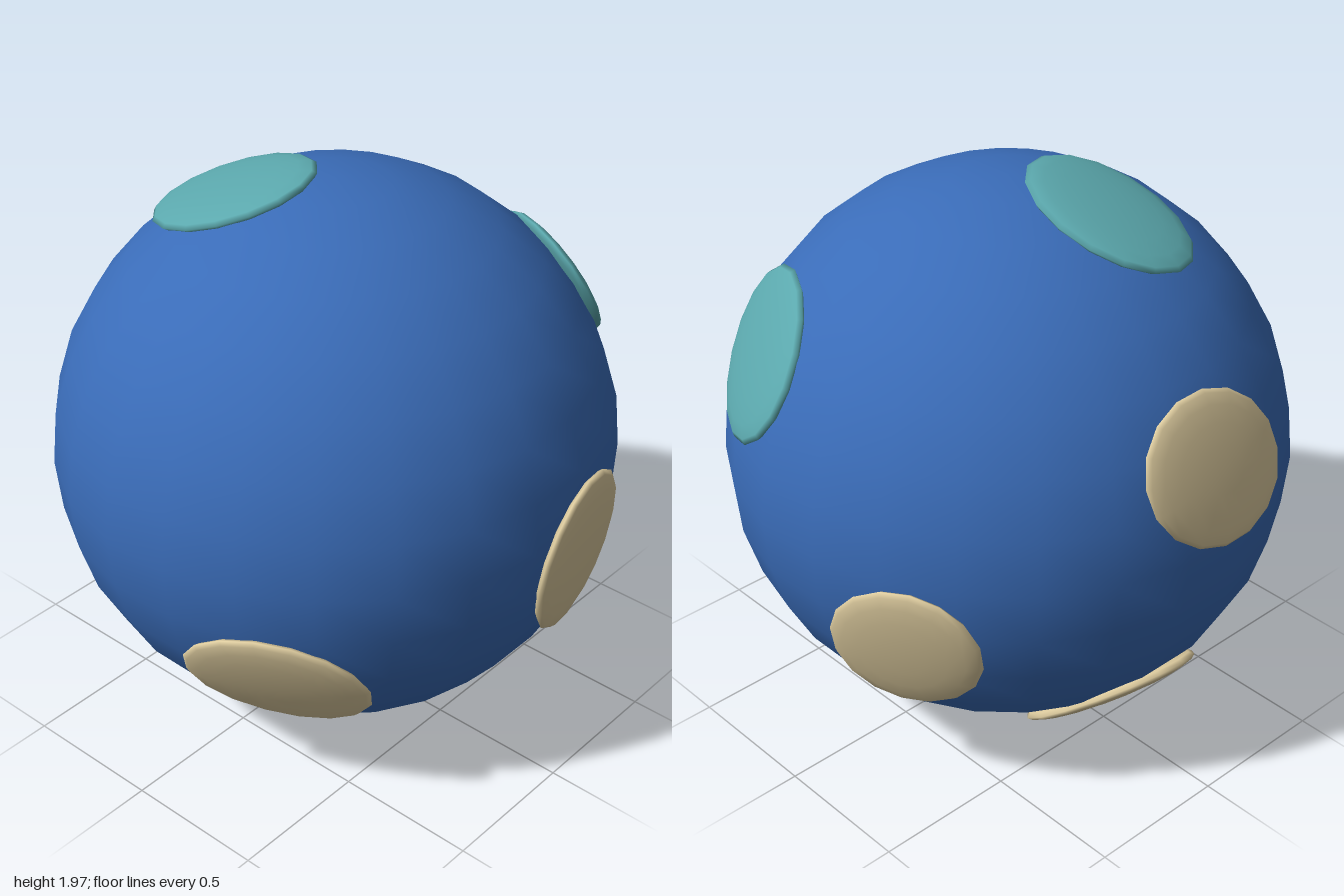
import * as THREE from 'three';

const CENTER = new THREE.Vector3(0, 0.975, 0);
const RADIUS = 0.972;
const SPOT_DISTANCE = 0.947;

export function createModel() {
  const blue = new THREE.MeshStandardMaterial({ name: 'ballBlue', color: 0x3a6cb8 });
  const tan = new THREE.MeshStandardMaterial({ name: 'spotTan', color: 0xdfcda0 });
  const teal = new THREE.MeshStandardMaterial({ name: 'spotTeal', color: 0x5ba8ad });

  const model = new THREE.Group();
  model.name = 'spottedBall';

  // Ball, turned half a segment so its flat sides face the axes
  const ball = new THREE.Mesh(new THREE.SphereGeometry(RADIUS, 24, 16), blue);
  ball.name = 'ball';
  ball.position.copy(CENTER);
  ball.rotation.y = Math.PI / 24;
  model.add(ball);

  // Flattened oval lens shared by all spots: long on x, thin on y
  const spotGeometry = new THREE.SphereGeometry(1, 16, 10).scale(0.317, 0.042, 0.256);

  // Places a spot in a direction from the ball's centre, long side along a hint
  function addSpot(name, material, direction, longSide) {
    const normal = new THREE.Vector3(...direction).normalize();
    const long = new THREE.Vector3(...longSide).projectOnPlane(normal).normalize();
    const short = new THREE.Vector3().crossVectors(long, normal);
    const spot = new THREE.Mesh(spotGeometry, material);
    spot.name = name;
    spot.quaternion.setFromRotationMatrix(new THREE.Matrix4().makeBasis(long, normal, short));
    spot.position.copy(CENTER).addScaledVector(normal, SPOT_DISTANCE);
    model.add(spot);
  }

  addSpot('frontSpot', tan, [0.145, -0.135, 0.93], [-0.12, 1, 0]);
  addSpot('rightSpot', tan, [-0.74, -0.415, 0.405], [0.57, -0.26, 0.78]);
  addSpot('leftSpot', tan, [0.805, -0.29, -0.39], [0.02, 0.825, -0.56]);
  addSpot('backSpot', tan, [-0.03, 0.265, -0.915], [0.88, 0.46, 0.1]);
  addSpot('lowerBackSpot', tan, [0.055, -0.745, -0.575], [-0.64, 0.47, -0.6]);
  addSpot('upperLeftSpot', teal, [0.75, 0.455, 0.345], [-0.59, 0.5, 0.63]);
  addSpot('topSpot', teal, [-0.165, 0.89, -0.3], [0.1, 0, 1]);

  return model;
}
